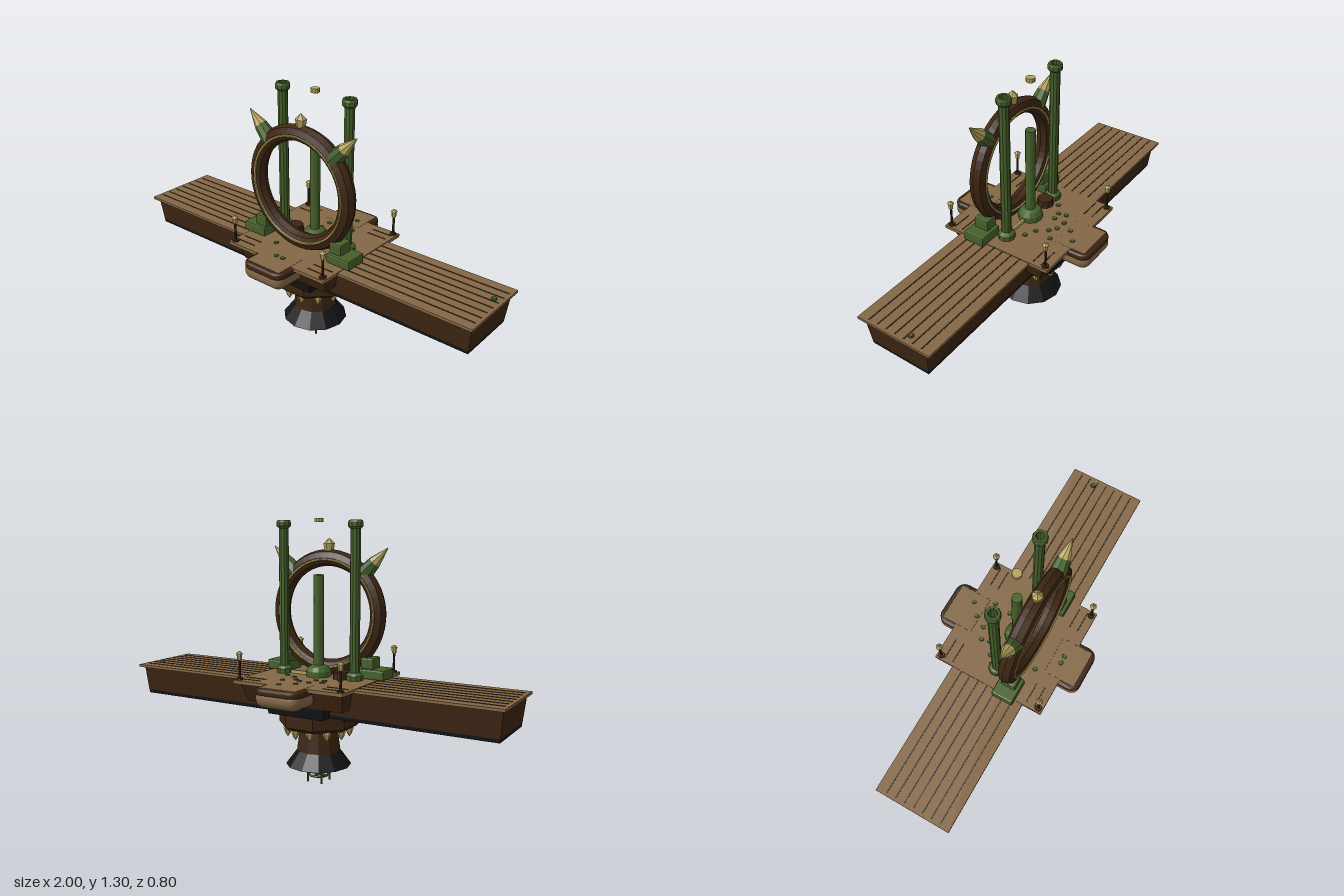
import * as THREE from 'three';
import { RoundedBoxGeometry } from 'three/addons/geometries/RoundedBoxGeometry.js';

const mat = (name, color) => {
  const m = new THREE.MeshStandardMaterial({ color });
  m.name = name;
  return m;
};

export function createModel() {
  const root = new THREE.Group();
  root.name = 'skyDock';
  const tan = mat('deckTan', 0x846846), brown = mat('darkWood', 0x3d2512);
  const black = mat('blackIron', 0x141416), green = mat('patinaGreen', 0x45602a);
  const gold = mat('paleGold', 0xb5a45c), groove = mat('plankGroove', 0x3a2818);

  // Helpers
  const flat = (g) => {
    const f = g.index ? g.toNonIndexed() : g;
    f.computeVertexNormals();
    return f;
  };
  const add = (name, g, m, x = 0, y = 0, z = 0, parent = root) => {
    const mesh = new THREE.Mesh(g, m);
    mesh.name = name;
    mesh.position.set(x, y, z);
    parent.add(mesh);
    return mesh;
  };
  const box = (name, m, x0, x1, y0, y1, z0, z1) =>
    add(name, new THREE.BoxGeometry(x1 - x0, y1 - y0, z1 - z0), m, (x0 + x1) / 2, (y0 + y1) / 2, (z0 + z1) / 2);
  const cyl = (name, m, rTop, rBottom, y0, y1, sides, x = 0, z = 0, parent = root) =>
    add(name, flat(new THREE.CylinderGeometry(rTop, rBottom, y1 - y0, sides)), m, x, (y0 + y1) / 2, z, parent);
  const lathe = (name, m, pts, sides, x, z) =>
    add(name, flat(new THREE.LatheGeometry(pts.map(p => new THREE.Vector2(...p)), sides)), m, x, 0, z);
  // Box centred on x and z, narrowing linearly towards its bottom
  const taper = (name, m, xTop, zTop, xBot, zBot, y0, y1) => {
    const g = new THREE.BoxGeometry(2, y1 - y0, 2), p = g.attributes.position;
    for (let i = 0; i < p.count; i++) {
      const top = p.getY(i) > 0;
      p.setX(i, p.getX(i) * (top ? xTop : xBot));
      p.setZ(i, p.getZ(i) * (top ? zTop : zBot));
    }
    return add(name, flat(g), m, 0, (y0 + y1) / 2, 0);
  };

  // Long pier and crossing platform
  box('longDeck', tan, -1, 1, 0.52, 0.533, -0.2, 0.2);
  box('crossDeck', tan, -0.3, 0.3, 0.52, 0.537, -0.3, 0.3);
  taper('longHull', brown, 0.985, 0.172, 0.972, 0.16, 0.392, 0.52);
  taper('longKeel', black, 0.972, 0.16, 0.97, 0.158, 0.375, 0.392);
  taper('crossHull', brown, 0.28, 0.265, 0.26, 0.235, 0.43, 0.52);
  taper('crossKeel', black, 0.16, 0.23, 0.15, 0.22, 0.375, 0.43);

  // Plank grooves
  for (const s of [-1, 1]) {
    for (let i = -3; i <= 3; i++) {
      const z = i * 0.049;
      box('plankGroove', groove, Math.min(s * 0.3, s * 0.985), Math.max(s * 0.3, s * 0.985), 0.533, 0.535, z - 0.003, z + 0.003);
    }
    for (const z of [-0.255, -0.21, 0.21, 0.255])
      box('crossGroove', groove, s * 0.225 - 0.055, s * 0.225 + 0.055, 0.537, 0.539, z - 0.003, z + 0.003);
  }

  // Rounded fenders at front and back
  for (const s of [-1, 1]) {
    add('fenderBody', new RoundedBoxGeometry(0.24, 0.095, 0.2, 4, 0.045), tan, 0, 0.4875, s * 0.3);
    const rim = new THREE.Shape();
    const w = 0.105, d = 0.085, r = 0.035;
    rim.moveTo(-w + r, -d);
    rim.lineTo(w - r, -d).absarc(w - r, -d + r, r, -Math.PI / 2, 0);
    rim.lineTo(w, d - r).absarc(w - r, d - r, r, 0, Math.PI / 2);
    rim.lineTo(-w + r, d).absarc(-w + r, d - r, r, Math.PI / 2, Math.PI);
    rim.lineTo(-w, -d + r).absarc(-w + r, -d + r, r, Math.PI, Math.PI * 1.5);
    const g = new THREE.ExtrudeGeometry(rim, { depth: 0.012, bevelSize: 0.016, bevelThickness: 0.012, bevelSegments: 3, curveSegments: 5 });
    add('fenderRim', g.rotateX(-Math.PI / 2), brown, 0, 0.512, s * 0.3);
    add('fenderTop', new RoundedBoxGeometry(0.2, 0.006, 0.165, 2, 0.002), tan, 0, 0.535, s * 0.295);
  }

  // Drum, neck and skirt hanging below
  cyl('drum', brown, 0.2, 0.2, 0.305, 0.38, 8).rotation.y = Math.PI / 8;
  cyl('drumBottom', brown, 0.2, 0.185, 0.29, 0.305, 8).rotation.y = Math.PI / 8;
  cyl('neck', brown, 0.09, 0.108, 0.165, 0.3, 12);
  cyl('skirt', black, 0.108, 0.163, 0.09, 0.165, 12);
  for (let i = 0; i < 12; i++) {
    const a = (i + 0.5) * Math.PI / 6, x = 0.157 * Math.cos(a), z = 0.157 * Math.sin(a);
    lathe('hangingFang', gold, [[0, 0.24], [0.012, 0.258], [0.021, 0.282], [0.02, 0.298], [0, 0.305]], 6, x, z);
  }

  // Landing frame at the bottom
  for (let i = 0; i < 4; i++) {
    const a = i * Math.PI / 2 + Math.PI / 4;
    cyl('frameLeg', green, 0.005, 0.005, 0, 0.1, 6, 0.057 * Math.cos(a), 0.057 * Math.sin(a));
  }
  cyl('frameStem', green, 0.006, 0.006, 0.03, 0.1, 6);
  add('frameRing', flat(new THREE.TorusGeometry(0.05, 0.006, 5, 16).rotateX(Math.PI / 2)), green, 0, 0.035, 0);
  box('frameBarX', green, -0.05, 0.05, 0.031, 0.039, -0.004, 0.004);
  box('frameBarZ', green, -0.004, 0.004, 0.031, 0.039, -0.05, 0.05);

  // Two hollow pillars and the shorter middle pillar
  for (const x of [-0.2, 0.2]) {
    lathe('tallPillar', green, [[0.042, 0.535], [0.042, 0.56], [0.034, 0.57], [0.025, 0.575], [0.025, 1.255],
      [0.036, 1.265], [0.036, 1.285], [0.032, 1.295], [0.021, 1.295], [0.021, 1.2], [0, 1.2]], 10, x, 0);
    cyl('pillarBore', groove, 0.021, 0.021, 1.205, 1.21, 10, x, 0);
  }
  lathe('middlePillar', green, [[0.062, 0.535], [0.062, 0.565], [0.05, 0.585], [0.035, 0.592], [0.025, 0.594],
    [0.025, 1.035], [0, 1.035]], 12, 0, 0);
  cyl('floatingDisc', gold, 0.022, 0.022, 1.284, 1.304, 10);

  // Items lying by the middle pillar
  cyl('lowBarrel', brown, 0.04, 0.045, 0.535, 0.572, 10, -0.13, 0);
  box('floorRod', gold, 0.05, 0.17, 0.537, 0.553, -0.006, 0.006);

  // Great ring with gold inlays
  const ring = new THREE.Group();
  ring.name = 'greatRing';
  ring.position.set(0, 0.84, 0.1);
  root.add(ring);
  add('ringBody', flat(new THREE.TorusGeometry(0.273, 0.041, 8, 48).rotateZ(Math.PI / 48)), brown, 0, 0, 0, ring);
  for (const s of [-1, 1])
    add('ringInlay', flat(new THREE.TorusGeometry(0.266, 0.006, 6, 48)), gold, 0, 0, s * 0.039, ring);

  // Horns on the ring's shoulders and the crown finial
  for (const s of [-1, 1]) {
    const horn = new THREE.Group();
    horn.name = 'horn';
    horn.position.set(s * 0.185, 0.19, 0);
    horn.rotation.z = -s * Math.PI / 4;
    ring.add(horn);
    cyl('hornSocket', green, 0.032, 0.044, 0, 0.095, 8, 0, 0, horn);
    cyl('hornTip', gold, 0.002, 0.032, 0.095, 0.19, 8, 0, 0, horn);
  }
  cyl('finialBase', gold, 0.028, 0.02, 0.29, 0.342, 6, 0, 0, ring);
  cyl('finialPoint', gold, 0.004, 0.028, 0.342, 0.366, 6, 0, 0, ring);

  // Stepped footings holding the ring
  for (const s of [-1, 1]) {
    add('footing', flat(new RoundedBoxGeometry(0.135, 0.05, 0.115, 1, 0.008)), green, s * 0.265, 0.56, 0.1);
    add('footingClamp', flat(new RoundedBoxGeometry(0.07, 0.06, 0.08, 1, 0.008)), green, s * 0.235, 0.608, 0.1);
  }

  // Corner lamps
  for (const x of [-0.277, 0.277]) for (const z of [-0.277, 0.277]) {
    cyl('lampFoot', brown, 0.016, 0.018, 0.535, 0.545, 8, x, z);
    cyl('lampPost', brown, 0.006, 0.006, 0.54, 0.637, 6, x, z);
    cyl('lampGlass', gold, 0.014, 0.011, 0.635, 0.664, 6, x, z);
    cyl('lampCap', gold, 0.004, 0.018, 0.664, 0.676, 6, x, z);
  }

  // Moss patches on the planks
  const moss = [[0.05, -0.28], [-0.01, -0.23], [-0.045, -0.17], [0.01, -0.165], [-0.105, -0.145], [-0.05, -0.11],
    [0.095, -0.18], [0.085, -0.09], [0.14, -0.065], [-0.095, -0.105], [-0.155, -0.065], [0.045, -0.14],
    [-0.11, 0.165], [-0.02, 0.262], [0.02, 0.262], [0.955, -0.065]];
  moss.forEach(([x, z], i) => {
    cyl('mossPatch', green, 0.012, 0.015, 0.532, 0.542, 6, x, z).rotation.y = i;
  });

  return root;
}
